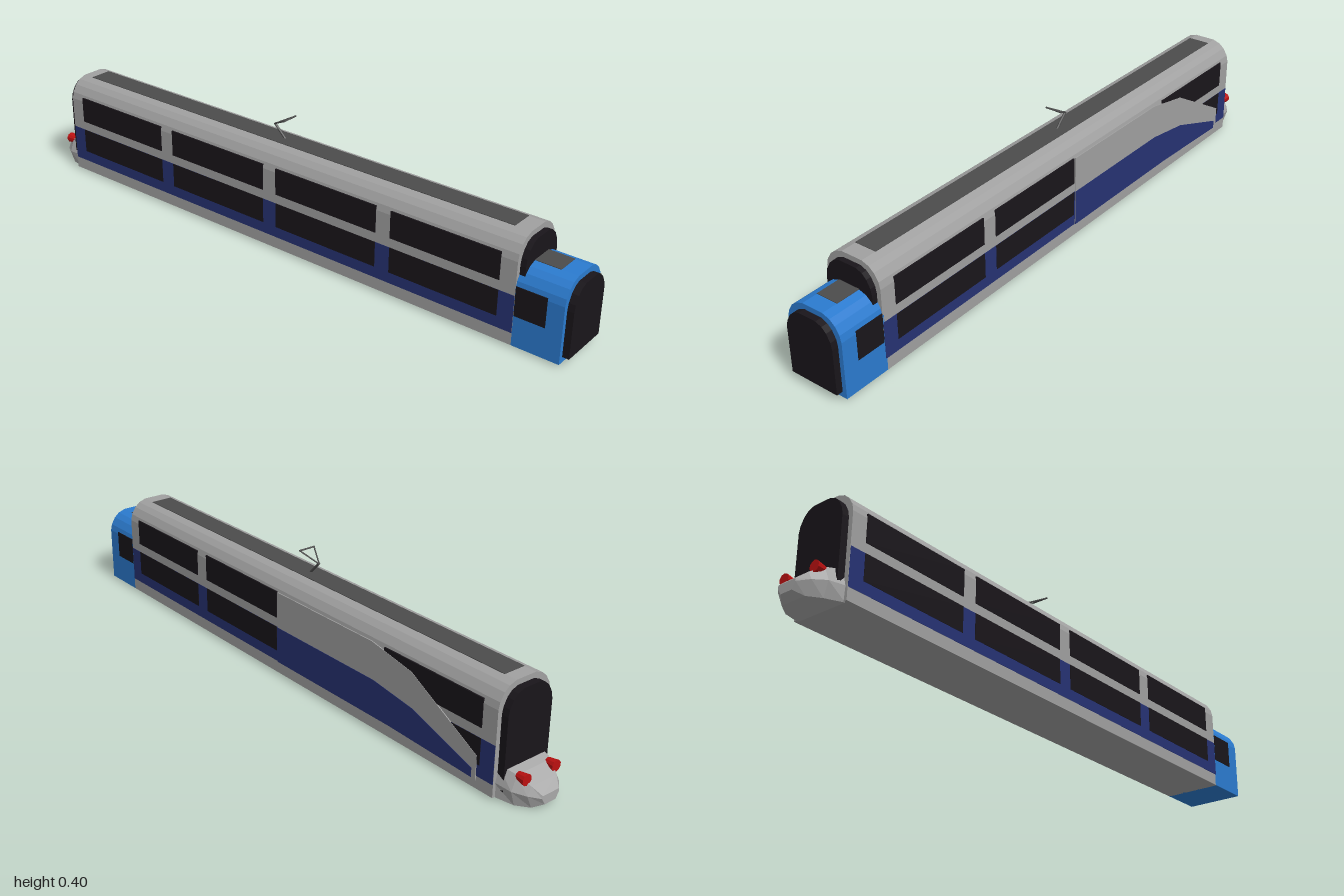
import * as THREE from 'three';

const mat = (color, extra = {}) => new THREE.MeshStandardMaterial({ color, flatShading: true, ...extra });
const grey = mat(0xa0a0a0);
const blue = mat(0x2b7bcf);
const navy = mat(0x263273);
const black = mat(0x19151a);
const roofGrey = mat(0x4c4c4c);
const red = mat(0xbb1111);

export function createModel() {
  const root = new THREE.Group();

  const add = (name, geometry, material) => {
    const mesh = new THREE.Mesh(geometry, material);
    mesh.name = name;
    root.add(mesh);
    return mesh;
  };

  // Box given by its limits
  const box = (name, x0, x1, y0, y1, z0, z1, material) => {
    const mesh = add(name, new THREE.BoxGeometry(x1 - x0, y1 - y0, z1 - z0), material);
    mesh.position.set((x0 + x1) / 2, (y0 + y1) / 2, (z0 + z1) / 2);
  };

  // Arched carriage cross-section, drawn out from z0 to z1
  const arch = (name, w, bottom, top, z0, z1, material) => {
    const right = [[1, 0.066], [0.95, 0.045], [0.8, 0.022], [0.62, 0.008], [0.37, 0]]
      .map(([s, d]) => new THREE.Vector2(w * s, top - d));
    const left = right.map(p => new THREE.Vector2(-p.x, p.y)).reverse();
    const shape = new THREE.Shape([
      new THREE.Vector2(-w, bottom), new THREE.Vector2(w, bottom), ...right, ...left]);
    const geometry = new THREE.ExtrudeGeometry(shape, { depth: z1 - z0, bevelEnabled: false });
    add(name, geometry.translate(0, 0, z0), material);
  };

  // Thin panel on the left flank, outlined by [z, y] points
  const flank = (name, points, x, material) => {
    const shape = new THREE.Shape(points.map(([z, y]) => new THREE.Vector2(-z, y)));
    const geometry = new THREE.ExtrudeGeometry(shape, { depth: 0.003, bevelEnabled: false });
    add(name, geometry.rotateY(Math.PI / 2).translate(x - 0.003, 0, 0), material);
  };

  // Round bar between two points
  const bar = (name, a, b, r) => {
    const from = new THREE.Vector3(...a), dir = new THREE.Vector3(...b).sub(from);
    const mesh = add(name, new THREE.CylinderGeometry(r, r, dir.length(), 6), roofGrey);
    mesh.position.copy(from).addScaledVector(dir, 0.5);
    mesh.quaternion.setFromUnitVectors(new THREE.Vector3(0, 1, 0), dir.normalize());
  };

  // Carriage, low front section and end panels
  arch('carriageBody', 0.095, 0.007, 0.328, -0.89, 0.835, grey);
  arch('frontSection', 0.095, 0.007, 0.249, 0.83, 0.98, blue);
  arch('frontDoorPanel', 0.081, 0.025, 0.233, 0.97, 1.0, black);
  arch('upperFrontPanel', 0.081, 0.03, 0.312, 0.82, 0.852, black);
  arch('rearPanel', 0.081, 0.03, 0.312, -0.912, -0.88, black);

  // Roof strips
  box('roofStrip', -0.036, 0.036, 0.32, 0.3295, -0.85, 0.785, roofGrey);
  box('frontRoofStrip', -0.036, 0.036, 0.24, 0.2505, 0.85, 0.93, roofGrey);

  // Flank stripes and windows; the left flank has a plain section in the middle
  const bays = [[0.43, 0.785], [0.01, 0.38], [-0.42, -0.04], [-0.84, -0.47]];
  for (const side of [-1, 1]) {
    const panel = (name, out, y0, y1, z0, z1, material) => {
      const a = side * 0.09, b = side * out;
      box(name, Math.min(a, b), Math.max(a, b), y0, y1, z0, z1, material);
    };
    panel('lowerStripe', 0.0957, 0.045, 0.16, -0.889, 0.834, navy);
    panel('frontSideWindow', 0.0962, 0.1, 0.19, 0.836, 0.93, black);
    bays.forEach(([z0, z1], i) => {
      if (side === 1 && i === 2) return;
      panel('upperWindow', 0.0967, 0.19, 0.275, z0, z1, black);
      panel('lowerWindow', 0.0967, 0.08, 0.16, z0, z1, black);
    });
  }

  // Sweeping livery on the left flank
  flank('greySweep', [[0.005, 0.04], [0.005, 0.275], [-0.42, 0.275], [-0.58, 0.245],
    [-0.83, 0.105], [-0.83, 0.03], [-0.5, 0.04]], 0.0977, grey);
  flank('navySweep', [[0.005, 0.045], [0.005, 0.16], [-0.43, 0.16], [-0.59, 0.138],
    [-0.815, 0.062], [-0.815, 0.035], [-0.5, 0.045]], 0.0987, navy);

  // Faceted coupler nose lofted from six-sided sections: z, then [half width, y] bottom to top
  const sections = [
    [-0.885, [0.085, 0.005], [0.088, 0.05], [0.076, 0.1]],
    [-0.94, [0.068, 0], [0.082, 0.045], [0.064, 0.088]],
    [-0.975, [0.042, 0], [0.06, 0.04], [0.047, 0.065]],
    [-1.0, [0.02, 0.014], [0.032, 0.034], [0.03, 0.042]],
  ];
  const positions = [], index = [];
  for (const [z, b, m, t] of sections) {
    for (const [x, y] of [b, m, t]) positions.push(x, y, z);
    for (const [x, y] of [t, m, b]) positions.push(-x, y, z);
  }
  for (let s = 0; s < sections.length - 1; s++) {
    for (let i = 0; i < 6; i++) {
      const a = s * 6 + i, b = s * 6 + (i + 1) % 6;
      index.push(a, a + 6, b, b, a + 6, b + 6);
    }
  }
  const tip = (sections.length - 1) * 6;
  for (let i = 1; i < 5; i++) index.push(tip, tip + i + 1, tip + i);
  const nose = new THREE.BufferGeometry();
  nose.setAttribute('position', new THREE.Float32BufferAttribute(positions, 3));
  nose.setIndex(index);
  nose.computeVertexNormals();
  add('couplerNose', nose, mat(0xa8a8a8, { side: THREE.DoubleSide }));

  // Red tail lamps
  for (const x of [-0.055, 0.055]) {
    const lamp = add('tailLamp', new THREE.CylinderGeometry(0.017, 0.012, 0.03, 10), red);
    lamp.rotation.x = -Math.PI / 2;
    lamp.position.set(x, 0.082, -0.951);
  }

  // Pantograph
  bar('pantographLowerArm', [0, 0.325, -0.03], [0, 0.368, -0.073], 0.004);
  for (const x of [-0.027, 0.027]) {
    bar('pantographUpperArm', [0, 0.366, -0.073], [x, 0.397, -0.015], 0.0022);
  }
  bar('pantographContactBar', [-0.029, 0.397, -0.015], [0.029, 0.397, -0.015], 0.0025);

  return root;
}
